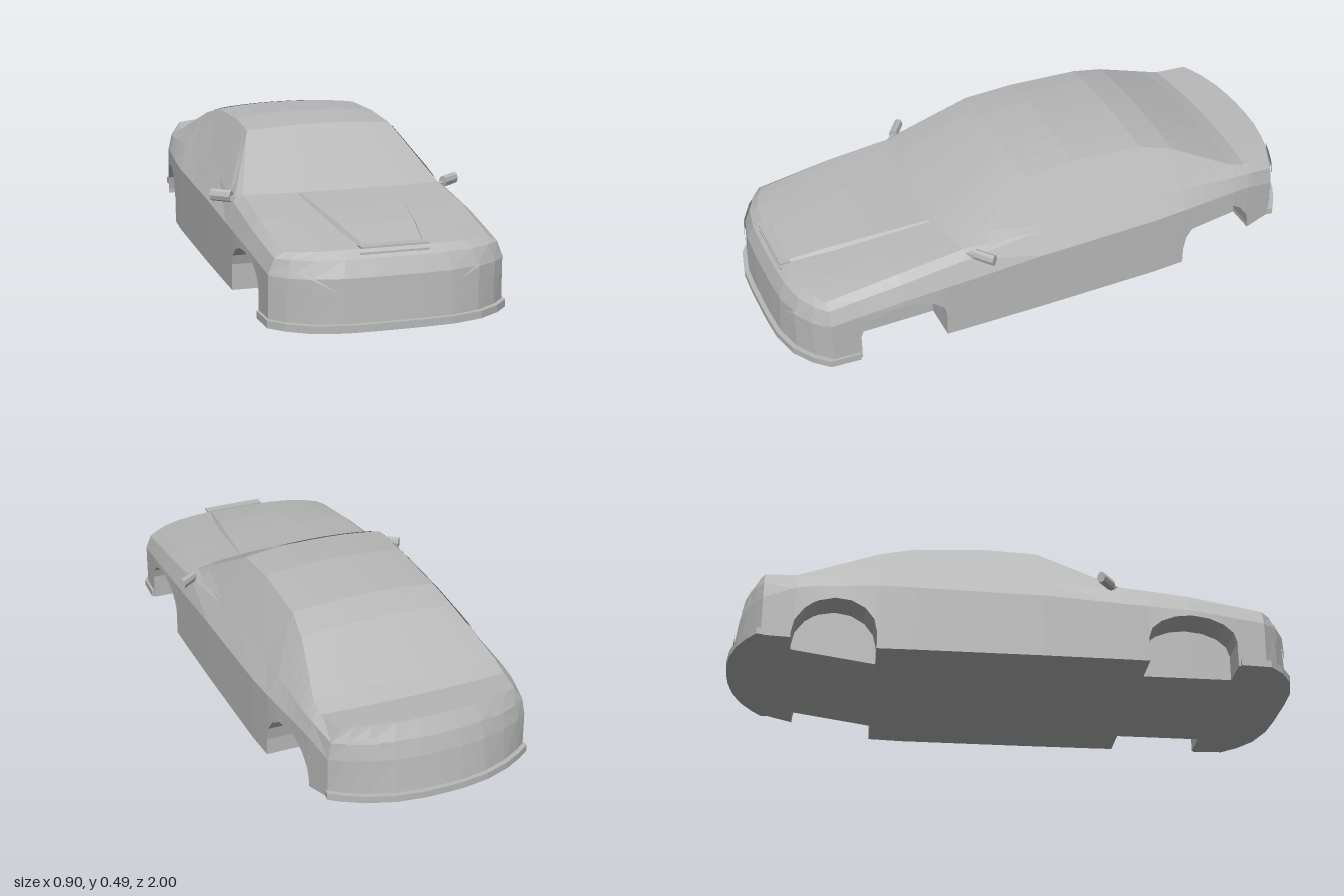
import * as THREE from 'three';

// Side stations: z, centre z, sill x, crease x/y, belt x/y, rail x/y, centre y
const KEYS = [
  [0.86, 0.92, 0.395, 0.395, 0.17, 0.375, 0.222, 0.345, 0.24, 0.25],
  [0.6, 0.62, 0.41, 0.408, 0.2, 0.385, 0.255, 0.355, 0.28, 0.288],
  [0.36, 0.4, 0.415, 0.412, 0.212, 0.383, 0.28, 0.352, 0.305, 0.31],
  [0.08, 0.09, 0.418, 0.415, 0.228, 0.368, 0.3, 0.265, 0.465, 0.48],
  [-0.1, -0.1, 0.418, 0.415, 0.23, 0.366, 0.307, 0.26, 0.475, 0.492],
  [-0.36, -0.36, 0.418, 0.415, 0.235, 0.366, 0.307, 0.264, 0.46, 0.476],
  [-0.48, -0.48, 0.413, 0.41, 0.238, 0.37, 0.303, 0.282, 0.425, 0.443],
  [-0.7, -0.71, 0.39, 0.388, 0.235, 0.368, 0.285, 0.333, 0.322, 0.335],
  [-0.76, -0.78, 0.382, 0.38, 0.23, 0.363, 0.28, 0.333, 0.302, 0.307],
  [-0.87, -0.925, 0.358, 0.357, 0.2, 0.345, 0.26, 0.312, 0.31, 0.316],
];
const ARCHES = [
  { c: 0.605, r: 0.155, base: 0.09, h: 0.09 },
  { c: -0.625, r: 0.145, base: 0.06, h: 0.13 },
];
const U = [-1, -0.88, -0.7, -0.45, -0.2, 0, 0.2, 0.45, 0.7, 0.88, 1];
const WELL_X = 0.28;
const lerp = THREE.MathUtils.lerp;
const bottomY = (z) => Math.max(0, (-0.47 - z) * 0.145);

function sample(z) {
  let i = 0;
  while (i < KEYS.length - 2 && z < KEYS[i + 1][0]) i++;
  const a = KEYS[i], b = KEYS[i + 1], t = (z - a[0]) / (b[0] - a[0]);
  return a.map((v, k) => lerp(v, b[k], t));
}

// A bowed row across the car from a centre point to an edge point
function across(u, zc, yc, x, y, z) {
  const a = Math.abs(u);
  return [u * x, lerp(yc, y, a ** 2.3), lerp(zc, z, a ** (z > 0.5 ? 4 : 2.5))];
}

function topAt(z, u, lift = 0) {
  const s = sample(z), p = across(u, s[1], s[9], s[7], s[8], z);
  return [p[0], p[1] + lift, p[2]];
}

// End rows: centre z/y and edge x/y, joined to the first or last station
function endRows(s, centres) {
  const edges = [[s[2], bottomY(s[0])], [s[3], s[4]], [s[5], s[6]], [s[7], s[8]]];
  return edges.map((e, i) => [...centres[i], ...e, s[0]]);
}
const NOSE = endRows(KEYS[0], [[0.985, 0], [0.975, 0.17], [0.952, 0.225], [0.92, 0.25]]);
const TAIL = endRows(KEYS[9], [[-0.985, 0.072], [-0.968, 0.2], [-0.953, 0.26], [-0.925, 0.316]]).reverse();

function endAt(rows, v, u, lift = 0) {
  const i = Math.min(2, Math.floor(v));
  const p = across(u, ...rows[i].map((n, k) => lerp(n, rows[i + 1][k], v - i)));
  return [p[0] * (1 + Math.abs(lift) * 2), p[1], p[2] + lift];
}

// Faceted surface from rows of points
function grid(rows) {
  const pos = [];
  for (let i = 0; i < rows.length - 1; i++) {
    for (let j = 0; j < rows[i].length - 1; j++) {
      const a = rows[i][j], b = rows[i + 1][j], c = rows[i + 1][j + 1], d = rows[i][j + 1];
      pos.push(...a, ...c, ...b, ...a, ...d, ...c);
    }
  }
  const g = new THREE.BufferGeometry();
  g.setAttribute('position', new THREE.Float32BufferAttribute(pos, 3));
  g.computeVertexNormals();
  return g;
}

// Complete ring round the body at one station, stepped inward in a wheel well
function ring(z, arch) {
  const s = sample(z), yb = bottomY(z);
  const xi = arch ? WELL_X : s[2], ya = arch ?? yb;
  const side = [[xi, yb, z], [xi, ya, z], [s[2], ya, z], [s[3], s[4], z], [s[5], s[6], z]];
  const right = side.map(([x, y, w]) => [-x, y, w]);
  return [...right, ...U.map((u) => topAt(z, u)), ...side.reverse(), right[0]];
}

function bodyRows() {
  const zs = KEYS.map((k) => k[0]);
  for (const a of ARCHES) for (let k = 0; k <= 8; k++) zs.push(a.c + a.r * Math.cos((k * Math.PI) / 8));
  const rows = [];
  for (const z of zs.sort((a, b) => b - a)) {
    const a = ARCHES.find((w) => Math.abs(z - w.c) <= w.r + 1e-6);
    if (!a) { rows.push(ring(z)); continue; }
    const t = (z - a.c) / a.r;
    const open = ring(z, a.base + a.h * Math.sqrt(Math.max(0, 1 - t * t)));
    if (t > 0.999) rows.push(ring(z), open);
    else if (t < -0.999) rows.push(open, ring(z));
    else rows.push(open);
  }
  return rows;
}

export function createModel() {
  const car = new THREE.Group();
  car.name = 'carBody';
  const grey = new THREE.MeshStandardMaterial({ color: 0xb8b8b8, flatShading: true, side: THREE.DoubleSide });
  grey.name = 'bodyGrey';
  const add = (name, geometry) => {
    const m = new THREE.Mesh(geometry, grey);
    m.name = name;
    car.add(m);
    return m;
  };

  // Main shell with cabin, arches and floor
  add('shell', grid(bodyRows()));

  // Rounded nose and tail with their undersides
  const rowsOf = (end) => [0, 1, 2, 3].map((v) => U.map((u) => endAt(end, v, u)));
  const nose = rowsOf(NOSE), tail = rowsOf(TAIL);
  const flat = (row, z) => row.map(([x]) => [x, bottomY(z), z]);
  add('nose', grid(nose));
  add('noseFloor', grid([flat(nose[0], 0.86), nose[0]]));
  add('tail', grid(tail));
  add('tailFloor', grid([tail[3], flat(tail[3], -0.87)]));

  // Bumper lips
  const lip = (name, row, out, innerX, innerZ, y, h) => {
    const pts = row.map(([x, , z]) => new THREE.Vector2(x * 1.02, z + out));
    pts.push(new THREE.Vector2(innerX, innerZ), new THREE.Vector2(-innerX, innerZ));
    const g = new THREE.ExtrudeGeometry(new THREE.Shape(pts), { depth: h, bevelEnabled: false });
    add(name, g.rotateX(Math.PI / 2).translate(0, y + h, 0));
  };
  lip('frontLip', nose[0], 0.015, 0.41, 0.768, 0, 0.025);
  lip('rearLip', tail[3], -0.015, 0.362, -0.86, 0.058, 0.024);

  // Windscreen and rear window
  const glass = (name, zs, width) => add(name, grid(zs.map((z) => U.map((u) => topAt(z, u * width, 0.004)))));
  glass('windscreen', [0.342, 0.1], 0.91);
  glass('rearWindow', [-0.4, -0.48, -0.67], 0.9);

  // Raised hood bulge and intake frame
  const bulge = [[0.9, 0.1, 0.259], [0.75, 0.125, 0.284], [0.6, 0.145, 0.299], [0.41, 0.165, 0.313]];
  add('hoodBulge', grid(bulge.map(([z, w, y]) =>
    [[-w - 0.018, y - 0.025, z], [-w, y, z], [w, y, z], [w + 0.018, y - 0.025, z]])));
  for (const y of [0.237, 0.257]) {
    add('intakeBar', new THREE.BoxGeometry(0.23, 0.006, 0.035).translate(0, y, 0.922));
  }

  // Parts on both sides
  const sideAt = (z, t) => {
    const s = sample(z);
    return [lerp(s[5], s[7], t) + 0.004, lerp(s[6], s[8], t) + 0.002, z];
  };
  const sidePlate = (name, side, rows) => {
    const r = rows.map((row) => row.map(([x, y, z]) => [side * x, y, z]));
    add(name, grid(side > 0 ? r.reverse() : r));
  };
  const frontGlass = [[0.27, 0.15, 0.8], [0.08, 0.1, 0.9], [-0.09, 0.1, 0.9]];
  const rearGlass = [[-0.12, 0.1, 0.9], [-0.36, 0.1, 0.88], [-0.48, 0.12, 0.72], [-0.54, 0.25, 0.5]];
  const lamp = [[0.5, [0.7, 0.75, 0.8]], [0.7, [0.7, 1, 1.15]], [0.87, [0.69, 1, 1.4]], [0.97, [0.7, 1, 1.35]]];
  for (const side of [1, -1]) {
    const label = side > 0 ? 'left' : 'right';
    const window = (rows) => rows.map(([z, lo, hi]) => [sideAt(z, lo), sideAt(z, hi)]);
    sidePlate(label + 'FrontWindow', side, window(frontGlass));
    sidePlate(label + 'RearWindow', side, window(rearGlass));
    sidePlate(label + 'Headlamp', side, lamp.map(([u, vs]) => vs.map((v) => endAt(NOSE, v, u, 0.005))));
    sidePlate(label + 'TailLamp', side, [0.58, 0.7, 0.88].map((u) =>
      [0.65, 1, 1.95].map((v) => endAt(TAIL, v, u, -0.005))));

    // Door mirror on a short stalk
    const mirror = new THREE.CylinderGeometry(0.021, 0.021, 0.075, 8);
    mirror.rotateZ(Math.PI / 2).scale(1, 1, 0.75).rotateY(side * 0.65);
    add(label + 'Mirror', mirror.translate(side * 0.413, 0.295, 0.305));
    const stalk = new THREE.BoxGeometry(0.06, 0.016, 0.02).rotateY(side * 0.65);
    add(label + 'MirrorStalk', stalk.translate(side * 0.375, 0.288, 0.335));
  }

  // Number plate panel
  add('rearPanel', grid([0.33, 0.2, 0, -0.2, -0.33].map((u) => [2.25, 2.7].map((v) => endAt(TAIL, v, u, -0.005)))));
  return car;
}
